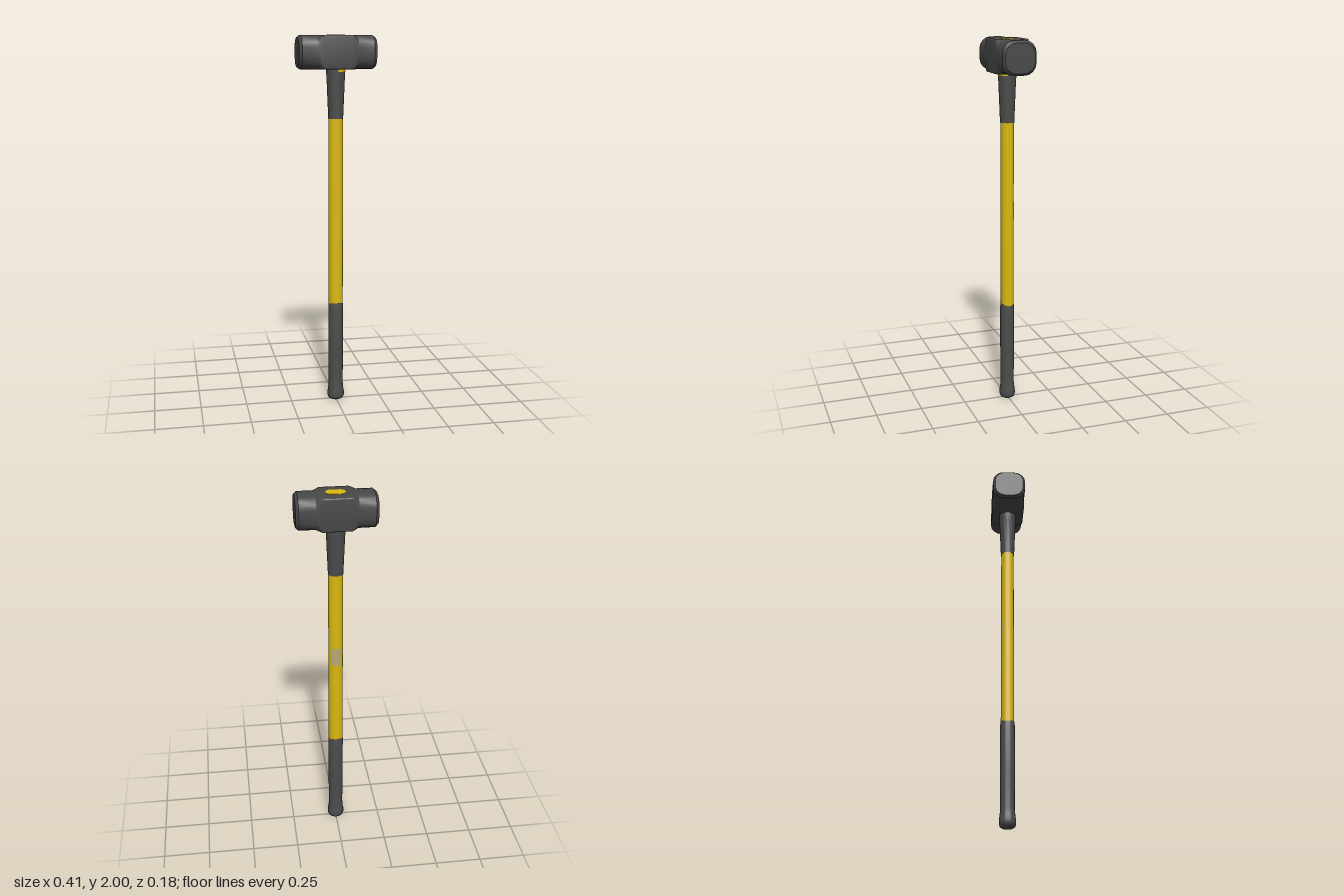
import * as THREE from 'three';
import { toCreasedNormals } from 'three/addons/utils/BufferGeometryUtils.js';

const steel = new THREE.MeshStandardMaterial({ color: 0x484848 });
steel.name = 'dark steel';
const rubber = new THREE.MeshStandardMaterial({ color: 0x4b4b4b });
rubber.name = 'dark rubber';
const yellow = new THREE.MeshStandardMaterial({ color: 0xd9b80f });
yellow.name = 'yellow fibreglass';
const beige = new THREE.MeshStandardMaterial({ color: 0xb5aa7c });
beige.name = 'worn label beige';

function add(group, name, geometry, material) {
  const mesh = new THREE.Mesh(geometry, material);
  mesh.name = name;
  group.add(mesh);
  return mesh;
}

// Oval turned part: profile of [radius, height], squashed along z
function turned(profile, depth, start = 0, sweep = Math.PI * 2) {
  const points = profile.map(([r, y]) => new THREE.Vector2(r, y));
  const geometry = new THREE.LatheGeometry(points, 28, start, sweep);
  geometry.scale(1, 1, depth);
  return toCreasedNormals(geometry, 0.7);
}

// Rounded square ring, as [z, y] pairs running from +z towards +y
function ring(half, radius, steps = 4) {
  const out = [];
  for (let corner = 0; corner < 4; corner++) {
    const mid = Math.PI / 4 + corner * Math.PI / 2;
    const cz = Math.sign(Math.cos(mid)) * (half - radius);
    const cy = Math.sign(Math.sin(mid)) * (half - radius);
    for (let i = 0; i <= steps; i++) {
      const a = corner * Math.PI / 2 + (i / steps) * Math.PI / 2;
      out.push([cz + radius * Math.cos(a), cy + radius * Math.sin(a)]);
    }
  }
  return out;
}

// Head lofted along x: round striking ends, square middle block
function headGeometry() {
  const half = [[0.075, 0.008], [0.105, 0.06], [0.19, 0.062], [0.205, 0.056]];
  const size = [0.09, 0.09, 0.09, 0.078];
  const right = half.map(([x, r], i) => ({ x, r, s: size[i] }));
  const left = right.map((st) => ({ ...st, x: -st.x })).reverse();
  const stations = [...left, ...right];
  const positions = [];
  const index = [];
  let n = 0;
  for (const { x, r, s } of stations) {
    const loop = ring(s, r);
    n = loop.length;
    for (const [z, y] of loop) positions.push(x, y * 0.97, z);
  }
  for (let s = 0; s < stations.length - 1; s++) {
    for (let i = 0; i < n; i++) {
      const a = s * n + i;
      const b = s * n + (i + 1) % n;
      index.push(a, a + n, b, b, a + n, b + n);
    }
  }
  // Striking faces
  const last = (stations.length - 1) * n;
  for (let i = 1; i < n - 1; i++) {
    index.push(0, i, i + 1, last, last + i + 1, last + i);
  }
  const geometry = new THREE.BufferGeometry();
  geometry.setAttribute('position', new THREE.Float32BufferAttribute(positions, 3));
  geometry.setIndex(index);
  return toCreasedNormals(geometry, 0.5);
}

// Oval handle end showing in the top of the head
function eyeGeometry() {
  const w = 0.05, h = 0.033, c = 0.03;
  const shape = new THREE.Shape();
  shape.moveTo(-w + c, -h);
  shape.lineTo(w - c, -h);
  shape.quadraticCurveTo(w, -h, w, 0);
  shape.quadraticCurveTo(w, h, w - c, h);
  shape.lineTo(-w + c, h);
  shape.quadraticCurveTo(-w, h, -w, 0);
  shape.quadraticCurveTo(-w, -h, -w + c, -h);
  const geometry = new THREE.ExtrudeGeometry(shape, { depth: 0.008, bevelEnabled: false, curveSegments: 6 });
  geometry.rotateX(-Math.PI / 2);
  return geometry;
}

export function createModel() {
  const model = new THREE.Group();
  model.name = 'sledgehammer';

  // Head
  add(model, 'head', headGeometry(), steel).position.y = 1.911;
  add(model, 'handleEye', eyeGeometry(), yellow).position.y = 1.992;

  // Handle, from bottom to top
  add(model, 'grip', turned([
    [0, 0], [0.03, 0.001], [0.041, 0.008], [0.046, 0.022], [0.046, 0.042],
    [0.042, 0.065], [0.039, 0.1], [0.041, 0.3], [0.041, 0.54], [0.038, 0.56], [0, 0.56],
  ], 0.94), rubber);
  add(model, 'shaft', turned([[0.039, 0.55], [0.039, 1.58]], 0.9), yellow);
  add(model, 'neckSleeve', turned([
    [0, 1.565], [0.0395, 1.565], [0.041, 1.6], [0.048, 1.77], [0.05, 1.8], [0.05, 1.84],
  ], 0.95), rubber);

  // Sliver of shaft showing under the head, on one corner
  add(model, 'neckSliver', turned([[0.048, 1.81], [0.0515, 1.811], [0.0515, 1.83]], 0.95, 0.1, 1.2), yellow);

  // Worn label on the back of the shaft
  const label = turned([[0.0398, 1.04], [0.0398, 1.14]], 0.9, Math.PI - 0.65, 1.3);
  add(model, 'label', label, beige);

  return model;
}
